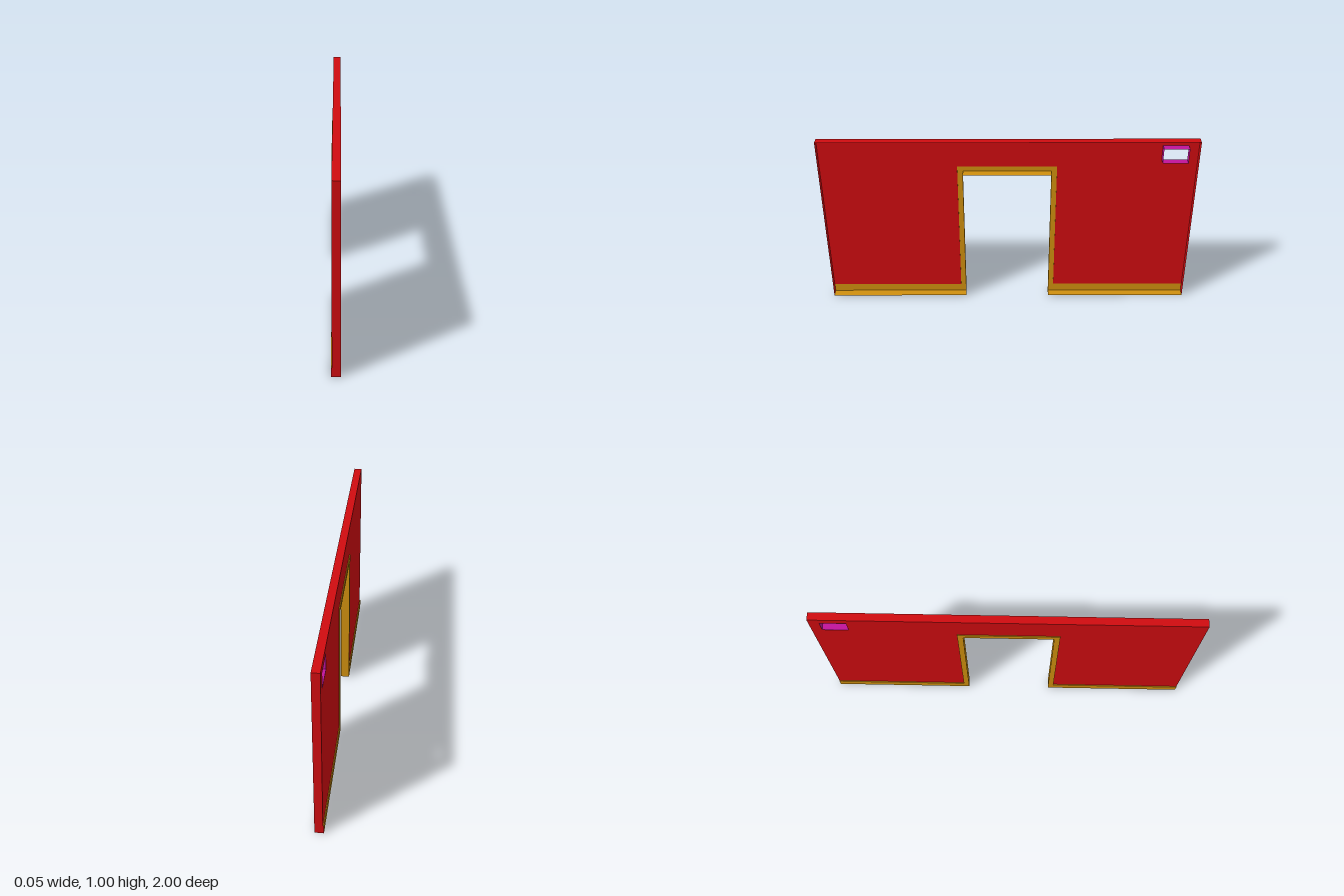
import * as THREE from 'three';

const mat = (color) => new THREE.MeshStandardMaterial({ color, side: THREE.DoubleSide, flatShading: true });

// Depth planes: raised trim, wall sheet, open rim
const TRIM = -0.024, WALL = -0.019, RIM = 0.023;

// Profiles as [z, y] pairs
const wallEdge = [[-1, 0], [-1, 1], [1, 1], [1, 0]];
const trimInner = [[1, 0], [0.24, 0], [0.24, 0.803], [-0.23, 0.803], [-0.23, 0], [-1, 0]];
const trimOuter = [[-1, 0.05], [-0.26, 0.05], [-0.26, 0.835], [0.27, 0.835], [0.27, 0.05], [1, 0.05]];
const opening = [[-0.945, 0.875], [-0.945, 0.96], [-0.81, 0.96], [-0.81, 0.875]];

const points = (path) => path.map(([z, y]) => new THREE.Vector2(z, y));

// Flat sheet in the z-y plane at depth x, facing -x
function sheet(path, x, hole) {
  const shape = new THREE.Shape(points(path));
  if (hole) shape.holes.push(new THREE.Path(points(hole)));
  return new THREE.ShapeGeometry(shape).rotateY(-Math.PI / 2).translate(x, 0, 0);
}

// Ribbon following a path, spanning depth x0 to x1
function ribbon(path, x0, x1) {
  const v = [];
  for (let i = 0; i < path.length - 1; i++) {
    const [az, ay] = path[i], [bz, by] = path[i + 1];
    v.push(x0, ay, az, x0, by, bz, x1, by, bz);
    v.push(x0, ay, az, x1, by, bz, x1, ay, az);
  }
  const g = new THREE.BufferGeometry();
  g.setAttribute('position', new THREE.Float32BufferAttribute(v, 3));
  g.computeVertexNormals();
  return g;
}

export function createModel() {
  const group = new THREE.Group();
  const red = mat(0xd00c10), gold = mat(0xd0900f), purple = mat(0xc0149a);
  const add = (name, geometry, material) => {
    const mesh = new THREE.Mesh(geometry, material);
    mesh.name = name;
    group.add(mesh);
  };

  // Wall: one thin sheet with folded edges, open towards +x
  add('wallPanel', sheet([...trimOuter, [1, 1], [-1, 1]], WALL, opening), red);
  add('wallEdges', ribbon(wallEdge, WALL, RIM), red);
  add('baseboardEndBack', ribbon([[-1, 0], [-1, 0.05]], TRIM, WALL), red);
  add('baseboardEndFront', ribbon([[1, 0.05], [1, 0]], TRIM, WALL), red);

  // Baseboard and door frame, raised and hollow
  add('trimFace', sheet([...trimOuter, ...trimInner], TRIM), gold);
  add('trimStep', ribbon(trimOuter, TRIM, WALL), gold);
  add('doorJambsAndFloor', ribbon(trimInner, TRIM, RIM), gold);

  // Lining of the small opening
  add('windowLining', ribbon([...opening, opening[0]], WALL - 0.001, RIM + 0.001), purple);

  return group;
}
